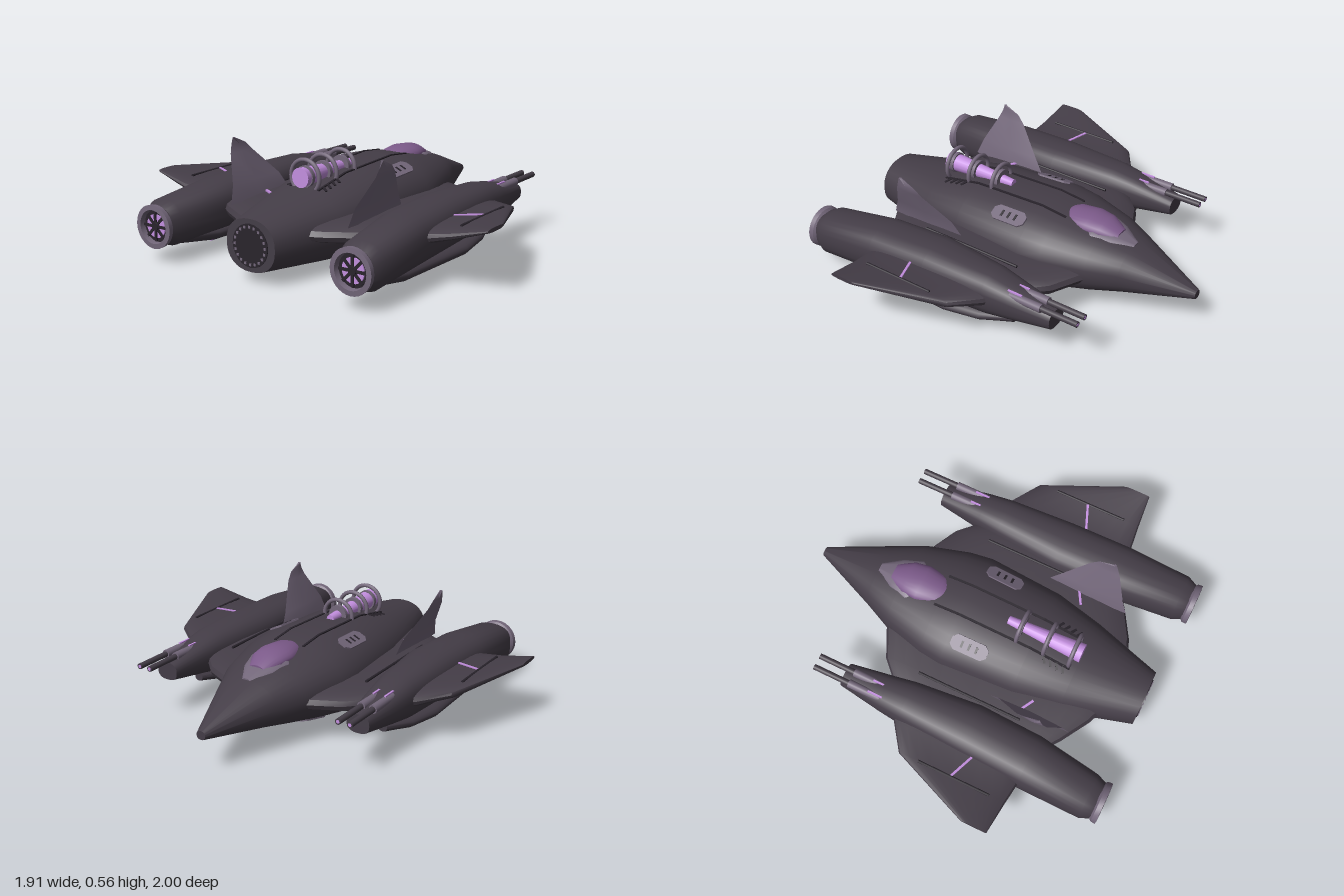
import * as THREE from 'three';
import { toCreasedNormals } from 'three/addons/utils/BufferGeometryUtils.js';

const mat = (name, color) => Object.assign(new THREE.MeshStandardMaterial({ color }), { name });
const M = {
  hull: mat('dark hull', 0x443d47),
  trim: mat('mauve grey trim', 0x73677a),
  dark: mat('near black', 0x29242c),
  glow: mat('violet glow', 0xc48fe0),
  glass: mat('violet canopy', 0x7c5a8a),
};

// Closed skin over a list of rings, always facing outward
function skin(rings, crease = 0.6) {
  const n = rings[0].length, tris = [];
  for (let i = 0; i < rings.length - 1; i++) for (let j = 0; j < n; j++) {
    const k = (j + 1) % n, [a, b, c, d] = [rings[i][j], rings[i][k], rings[i + 1][k], rings[i + 1][j]];
    tris.push([a, b, c], [a, c, d]);
  }
  const first = rings[0], last = rings[rings.length - 1];
  for (let j = 1; j < n - 1; j++) {
    tris.push([first[0], first[j + 1], first[j]], [last[0], last[j], last[j + 1]]);
  }
  let volume = 0;
  for (const [a, b, c] of tris) volume += a.dot(b.clone().cross(c));
  const pts = tris.flatMap(([a, b, c]) => (volume < 0 ? [a, c, b] : [a, b, c]));
  return toCreasedNormals(new THREE.BufferGeometry().setFromPoints(pts), crease);
}

// Superellipse ring: u and v are [min, max]; place maps (u, v) to a point
function ring([u0, u1], [v0, v1], place, power = 2.3, sides = 24) {
  return Array.from({ length: sides }, (_, i) => {
    const t = (i / sides) * Math.PI * 2, c = Math.cos(t), s = Math.sin(t);
    const e = 2 / power;
    return place((u0 + u1) / 2 + (u1 - u0) / 2 * Math.sign(c) * Math.abs(c) ** e,
      (v0 + v1) / 2 + (v1 - v0) / 2 * Math.sign(s) * Math.abs(s) ** e);
  });
}

// Body running along x, stations [x, y0, y1, z0, z1]
const bodyX = (stations, side = 1, power = 2.3, sides = 24) => skin(stations.map(([x, y0, y1, z0, z1]) =>
  ring([z0, z1], [y0, y1], (z, y) => new THREE.Vector3(x, y, z * side), power, sides)));

// Wing running along z, stations [z, x0, x1, y0, y1]
const wingZ = (stations, side, power) => skin(stations.map(([z, x0, x1, y0, y1]) =>
  ring([x0, x1], [y0, y1], (x, y) => new THREE.Vector3(x, y, z * side), power)));

// Fuselage stations [x, bottom, top, half width]
const HULL = [
  [-0.92, 0.065, 0.32, 0.145], [-0.55, 0.03, 0.38, 0.255], [-0.3, 0.012, 0.43, 0.305],
  [0.1, 0.01, 0.445, 0.33], [0.22, 0.035, 0.432, 0.312], [0.45, 0.085, 0.395, 0.245],
  [0.6, 0.115, 0.355, 0.175], [0.95, 0.18, 0.225, 0.025],
];

// Height of the fuselage surface above or below (x, z)
function hullY(x, z, up) {
  const i = Math.max(1, HULL.findIndex((s) => s[0] >= x)), a = HULL[i - 1], b = HULL[i];
  const [, y0, y1, w] = a.map((v, k) => v + (b[k] - v) * (x - a[0]) / (b[0] - a[0]));
  return (y0 + y1) / 2 + up * (y1 - y0) / 2 * (1 - Math.abs(z / w) ** 2.3) ** (1 / 2.3);
}

export function createModel() {
  const model = new THREE.Group();
  model.name = 'spaceFighter';
  const add = (name, geo, material, parent = model) => {
    const mesh = new THREE.Mesh(geo, material);
    mesh.name = name;
    parent.add(mesh);
    return mesh;
  };
  // Rod along x, r0 at the rear and r1 at the front
  const rod = (name, x0, x1, y, z, r0, r1, material, sides = 16) => {
    const geo = new THREE.CylinderGeometry(r1, r0, x1 - x0, sides).rotateZ(-Math.PI / 2);
    return add(name, geo.translate((x0 + x1) / 2, y, z), material);
  };
  // Thin strip between two points
  const strip = (name, a, b, width, material) => {
    const p = new THREE.Vector3(...a), q = new THREE.Vector3(...b);
    const mesh = add(name, new THREE.BoxGeometry(width, 0.009, p.distanceTo(q)), material);
    mesh.position.copy(p).lerp(q, 0.5);
    mesh.lookAt(q);
  };
  const ringX = (name, x, y, z, radius, tube, material) =>
    add(name, new THREE.TorusGeometry(radius, tube, 10, 32).rotateY(Math.PI / 2), material).position.set(x, y, z);

  // Fuselage and its rear exhaust
  add('fuselage', bodyX(HULL.map(([x, y0, y1, w]) => [x, y0, y1, -w, w]), 1, 2.3, 32), M.hull);
  rod('rearExhaust', -0.924, -0.915, 0.192, 0, 0.105, 0.105, M.dark, 24);
  for (let i = 0; i < 20; i++) {
    const t = (i / 20) * Math.PI * 2;
    add('exhaustStud', new THREE.BoxGeometry(0.006, 0.012, 0.012), M.trim)
      .position.set(-0.925, 0.192 + 0.09 * Math.sin(t), 0.09 * Math.cos(t));
  }

  // Canopy and its frame
  add('canopyFrame', bodyX([[0.3, 0.34, 0.4, -0.09, 0.09], [0.4, 0.33, 0.416, -0.122, 0.122],
    [0.5, 0.32, 0.396, -0.09, 0.09], [0.6, 0.31, 0.362, -0.03, 0.03]]), M.trim);
  add('canopy', bodyX([[0.22, 0.36, 0.432, -0.06, 0.06], [0.25, 0.35, 0.442, -0.085, 0.085],
    [0.35, 0.35, 0.448, -0.1, 0.1], [0.43, 0.35, 0.44, -0.088, 0.088],
    [0.515, 0.34, 0.4, -0.05, 0.05]], 1, 2), M.glass);

  // Reactor on the back, with hoops
  rod('reactorCore', -0.55, -0.14, 0.437, 0, 0.05, 0.022, M.glow);
  for (const x of [-0.51, -0.37, -0.22]) {
    ringX('reactorHoop', x, 0.435, 0, 0.085, 0.011, M.trim);
    rod('reactorCollar', x - 0.01, x + 0.01, 0.437, 0, 0.054, 0.054, M.trim);
  }

  // Octagonal vent plate with three slots, laid on the fuselage
  const vent = (x, z, up) => {
    const e = 0.01, plate = new THREE.Group();
    plate.name = 'ventPlate';
    const outline = [[-0.1, -0.02], [-0.075, -0.042], [0.075, -0.042], [0.1, -0.02],
      [0.1, 0.02], [0.075, 0.042], [-0.075, 0.042], [-0.1, 0.02]].map((p) => new THREE.Vector2(...p));
    const geo = new THREE.ExtrudeGeometry(new THREE.Shape(outline), { depth: 0.009, bevelEnabled: false });
    add('ventPanel', geo.translate(0, 0, -0.0045).rotateX(-Math.PI / 2), M.trim, plate);
    for (const dx of [-0.04, 0, 0.04]) {
      add('ventSlot', new THREE.BoxGeometry(0.012, 0.013, 0.035), M.dark, plate).position.x = dx;
    }
    plate.position.set(x, hullY(x, z, up) + up * 0.002, z);
    plate.rotation.x = -Math.atan((hullY(x, z + e, up) - hullY(x, z - e, up)) / (2 * e));
    plate.rotation.z = Math.atan((hullY(x + e, z, up) - hullY(x - e, z, up)) / (2 * e));
    model.add(plate);
  };

  for (const s of [1, -1]) {
    // Fuselage details
    vent(-0.02, s * 0.21, 1);
    vent(-0.02, s * 0.17, -1);
    vent(0.25, s * 0.13, -1);
    const onHull = (x, z, up) => [x, hullY(x, z, up), s * z];
    strip('spineRail', onHull(-0.52, 0.085, 1), onHull(-0.3, 0.085, 1), 0.012, M.dark);
    strip('spineRail', onHull(-0.3, 0.085, 1), onHull(0.1, 0.085, 1), 0.012, M.dark);
    strip('spineRail', onHull(0.1, 0.085, 1), onHull(0.24, 0.085, 1), 0.012, M.dark);
    strip('bellyGlow', onHull(-0.5, 0.16, -1), onHull(-0.3, 0.16, -1), 0.012, M.glow);
    strip('bellyGlow', onHull(-0.3, 0.16, -1), onHull(-0.13, 0.16, -1), 0.012, M.glow);
    for (let i = 0; i < 4; i++) {
      const x = -0.48 + i * 0.035;
      strip('coolingRib', onHull(x, 0.085, 1), onHull(x - 0.02, 0.12, 1), 0.012, M.dark);
    }

    // Inner and outer wings
    add('innerWing', wingZ([[0.2, -0.74, 0.47, 0.16, 0.29], [0.25, -0.72, 0.445, 0.16, 0.29],
      [0.4, -0.63, 0.37, 0.16, 0.29], [0.48, -0.57, 0.29, 0.17, 0.285],
      [0.56, -0.5, 0.18, 0.18, 0.28]], s, 2.8), M.hull);
    add('outerWing', wingZ([[0.6, -0.53, 0.23, 0.18, 0.305], [0.69, -0.53, 0.17, 0.2, 0.3],
      [0.825, -0.515, 0.07, 0.245, 0.312], [1, -0.5, -0.36, 0.315, 0.335]], s, 2.8), M.hull);
    rod('outerWingSeam', -0.43, -0.04, 0.31, s * 0.825, 0.007, 0.007, M.dark, 8);
    rod('innerWingSeam', -0.4, 0.17, 0.29, s * 0.41, 0.007, 0.007, M.dark, 8);
    strip('outerWingGlow', [-0.27, 0.3, s * 0.69], [-0.22, 0.312, s * 0.82], 0.012, M.glow);
    strip('innerWingGlow', [-0.42, 0.29, s * 0.29], [-0.38, 0.29, s * 0.36], 0.012, M.glow);

    // Leaning tail fin, rows [y, rear x, front x, z]
    add('tailFin', skin([[0.27, -0.65, -0.2, 0.355], [0.36, -0.615, -0.26, 0.372], [0.5, -0.55, -0.39, 0.44],
      [0.54, -0.533, -0.43, 0.449], [0.575, -0.522, -0.505, 0.45]].map(([y, x0, x1, z]) =>
      [[x0, 0], [(x0 + x1) / 2, 0.007], [x1, 0], [(x0 + x1) / 2, -0.007]]
        .map(([x, dz]) => new THREE.Vector3(x, y, s * (z + dz))))), M.trim);

    // Engine nacelle with the pod beneath
    add('nacelle', bodyX([[-0.92, 0.1, 0.285, 0.495, 0.685], [-0.87, 0.08, 0.31, 0.475, 0.707],
      [-0.53, 0.1, 0.352, 0.43, 0.71], [-0.2, 0.115, 0.365, 0.42, 0.7], [0.15, 0.13, 0.355, 0.455, 0.68],
      [0.27, 0.15, 0.335, 0.475, 0.667], [0.51, 0.19, 0.285, 0.51, 0.633]], s, 2.6), M.hull);
    add('lowerPod', bodyX([[-0.87, 0.085, 0.15, 0.53, 0.62], [-0.6, 0.045, 0.13, 0.48, 0.66],
      [-0.1, 0.04, 0.125, 0.468, 0.672], [0.1, 0.06, 0.13, 0.49, 0.645],
      [0.27, 0.1, 0.145, 0.54, 0.59]], s, 2), M.hull);
    strip('podGlow', [-0.6, 0.046, s * 0.55], [-0.1, 0.041, s * 0.55], 0.014, M.glow);
    strip('podGlow', [-0.1, 0.041, s * 0.55], [0.05, 0.056, s * 0.55], 0.014, M.glow);

    // Nozzle: open bell, glowing disc, hub and spokes
    const bell = [[0.094, 0], [0.108, 0.015], [0.11, 0.04], [0.085, 0.042], [0.078, 0.005]];
    add('nozzleRing', toCreasedNormals(new THREE.LatheGeometry(bell.map((p) => new THREE.Vector2(...p)), 32), 0.6)
      .rotateZ(Math.PI / 2).translate(-0.915, 0.19, s * 0.59), M.trim).material = M.trim;
    rod('nozzleBack', -0.93, -0.915, 0.19, s * 0.59, 0.084, 0.084, M.dark, 24);
    rod('nozzleGlow', -0.936, -0.925, 0.19, s * 0.59, 0.06, 0.06, M.glow, 24);
    rod('nozzleHub', -0.945, -0.93, 0.19, s * 0.59, 0.02, 0.025, M.dark);
    for (let i = 0; i < 4; i++) {
      add('nozzleSpoke', new THREE.BoxGeometry(0.008, 0.15, 0.014).rotateX(i * Math.PI / 4), M.dark)
        .position.set(-0.938, 0.19, s * 0.59);
    }

    // Twin cannons
    for (const z of [0.557, 0.62]) {
      rod('cannonHousing', 0.25, 0.46, 0.303, s * z, 0.02, 0.022, M.trim);
      rod('cannonBarrel', 0.44, 0.66, 0.303, s * z, 0.015, 0.015, M.hull);
      strip('cannonGlow', [0.27, 0.325, s * z], [0.35, 0.325, s * z], 0.01, M.glow);
      rod('cannonMuzzle', 0.655, 0.661, 0.303, s * z, 0.009, 0.009, M.glow);
    }
  }
  return model;
}
